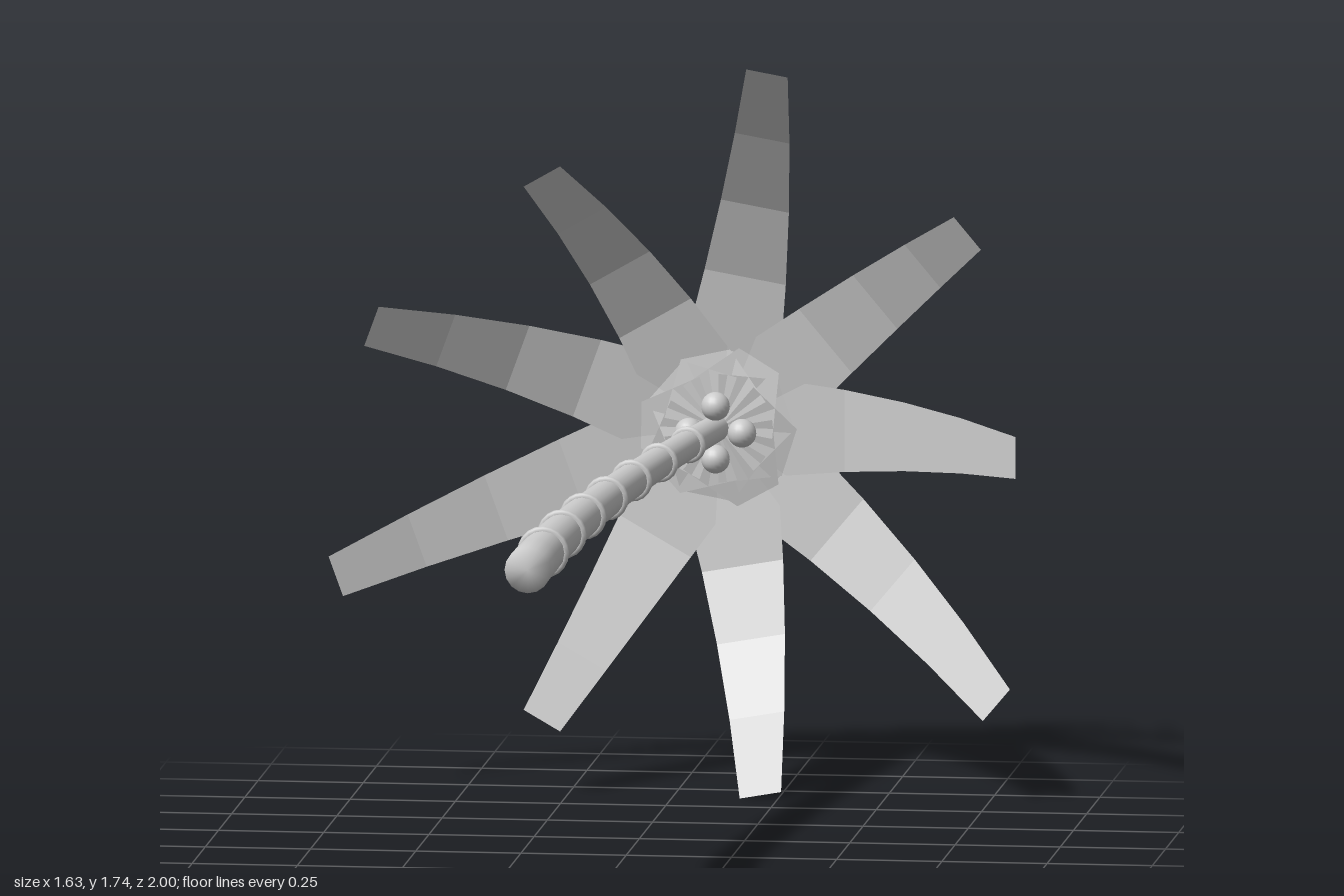
import * as THREE from 'three';

const CROWN_X = 0.065, CROWN_Y = 0.835;

// Trunk centre line: s = 0 at the base (z = 1), s = 1 at the crown
function trunkPoint(s) {
  const bend = Math.pow(s, 1.7);
  return new THREE.Vector3(-0.14 + 0.2 * bend, 0.805 + 0.032 * s, 1 - 1.96 * s);
}
const trunkRadius = (s) => 0.055 - 0.023 * s;

// Lathe bent along the centre line, closed by a flat base and a domed tip
function trunkGeometry() {
  const profile = [new THREE.Vector2(0, 0)];
  for (let i = 0; i <= 16; i++) profile.push(new THREE.Vector2(trunkRadius(i / 16), i / 16));
  profile.push(new THREE.Vector2(0.026, 1.008), new THREE.Vector2(0, 1.014));
  const geo = new THREE.LatheGeometry(profile, 16);
  const pos = geo.attributes.position;
  for (let i = 0; i < pos.count; i++) {
    const c = trunkPoint(pos.getY(i));
    pos.setXYZ(i, c.x + pos.getX(i), c.y - pos.getZ(i), c.z);
  }
  geo.computeVertexNormals();
  return geo;
}

// Tapering strip of five flat segments that arches outward and droops toward +z
function frondGeometry(length) {
  const steps = 5;
  const geo = new THREE.PlaneGeometry(1, 1, steps, 1);
  const pos = geo.attributes.position;
  for (let i = 0; i < pos.count; i++) {
    const t = pos.getX(i) + 0.5;
    const side = Math.sign(pos.getY(i));
    pos.setXYZ(i, t * length, side * (0.13 - 0.08 * t), 0.586 * (t - 0.2) ** 2);
  }
  const flat = geo.toNonIndexed();
  flat.computeVertexNormals();
  return flat;
}

export function createModel() {
  const model = new THREE.Group();
  model.name = 'palmTree';
  const grey = new THREE.MeshStandardMaterial({ color: 0xcccccc, side: THREE.DoubleSide });
  grey.name = 'lightGrey';

  const add = (name, geometry) => {
    const mesh = new THREE.Mesh(geometry, grey);
    mesh.name = name;
    model.add(mesh);
    return mesh;
  };

  add('trunk', trunkGeometry());

  // Rings around the trunk
  for (let i = 1; i <= 7; i++) {
    const s = i * 0.1265;
    const ring = add('trunkRing', new THREE.TorusGeometry(trunkRadius(s), 0.01, 8, 20));
    ring.position.copy(trunkPoint(s));
    ring.lookAt(trunkPoint(s + 0.01));
  }

  // Nine fronds in three repeating lengths
  const lengths = [0.92, 0.83, 0.75];
  for (let i = 0; i < 9; i++) {
    const frond = add('frond', frondGeometry(lengths[i % 3]));
    frond.position.set(CROWN_X, CROWN_Y, -1);
    frond.rotation.z = THREE.MathUtils.degToRad(80 - 40 * i);
  }

  // Four nuts around the top of the trunk
  for (let i = 0; i < 4; i++) {
    const a = (i * Math.PI) / 2;
    const nut = add('nut', new THREE.SphereGeometry(0.034, 20, 14));
    nut.position.set(0.068 + 0.063 * Math.cos(a), 0.837 + 0.063 * Math.sin(a), -0.9);
  }
  return model;
}
